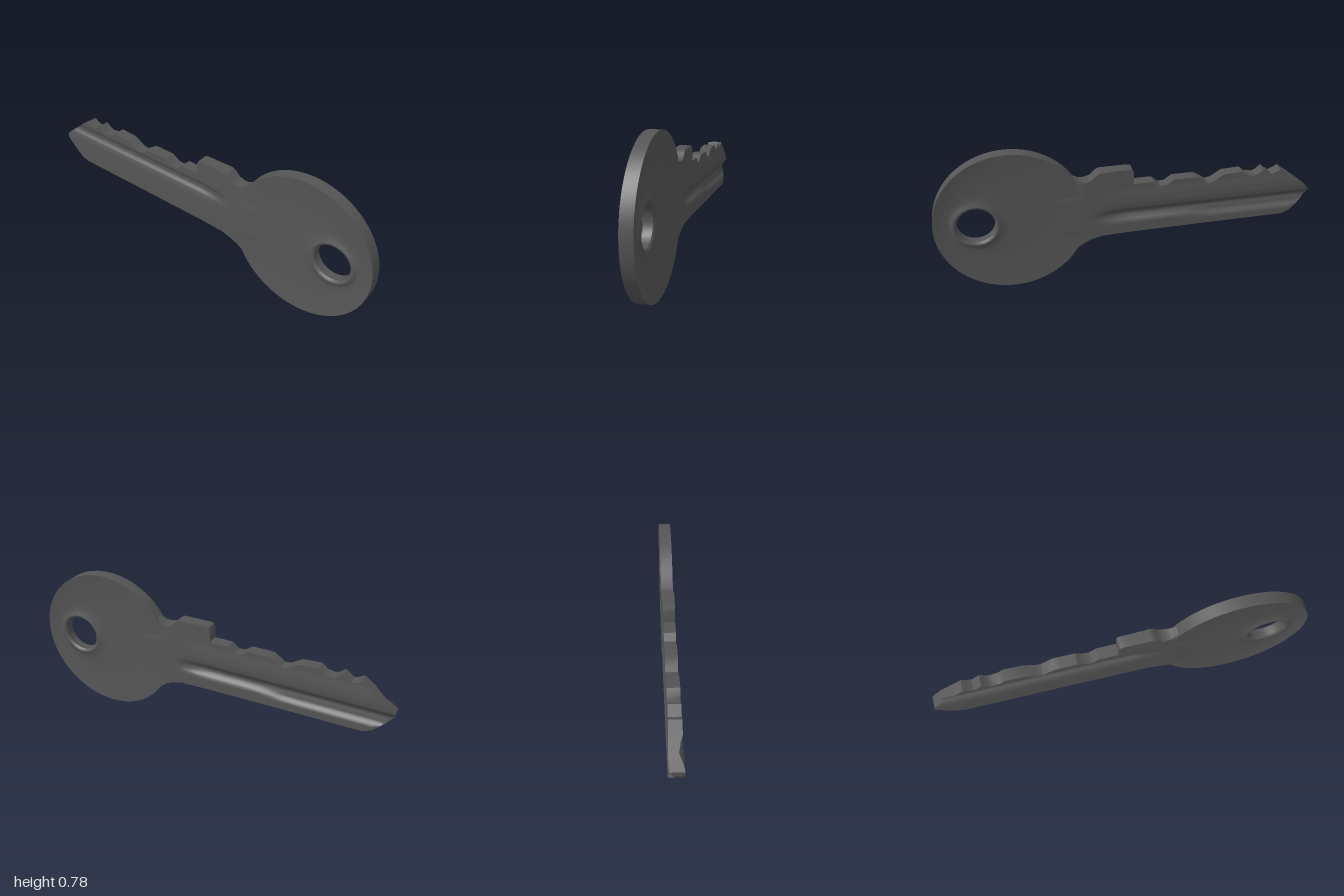
import * as THREE from 'three';
import { toCreasedNormals } from 'three/addons/utils/BufferGeometryUtils.js';

const MID = 0.391; // height of the centre line
const { lerp, smoothstep } = THREE.MathUtils;

// Piecewise linear lookup in a list of [key, value], keys ascending
function lookup(list, k) {
  if (k <= list[0][0]) return list[0][1];
  for (let i = 1; i < list.length; i++) {
    const [k0, v0] = list[i - 1], [k1, v1] = list[i];
    if (k <= k1) return lerp(v0, v1, (k - k0) / (k1 - k0));
  }
  return list[list.length - 1][1];
}

// Skin closed sections; each section is a loop of [x, y, z], leaning slightly sideways
function loft(rows, { ring = false, endCap = false }) {
  const n = rows[0].length, index = [];
  const position = rows.flat().flatMap(([x, y, z]) => [x + 0.0115 * (y - MID), y, z]);
  const steps = ring ? rows.length : rows.length - 1;
  for (let i = 0; i < steps; i++) {
    const p = i * n, q = ((i + 1) % rows.length) * n;
    for (let j = 0; j < n; j++) {
      const k = (j + 1) % n;
      index.push(p + j, q + j, p + k, q + j, q + k, p + k);
    }
  }
  if (endCap) {
    const s = (rows.length - 1) * n;
    for (let j = 0; j < n / 2 - 1; j++) {
      const a = s + j, b = a + 1, c = s + n - 2 - j, d = c + 1;
      index.push(a, c, b, a, d, c);
    }
  }
  const g = new THREE.BufferGeometry();
  g.setAttribute('position', new THREE.Float32BufferAttribute(position, 3));
  g.setIndex(index);
  return toCreasedNormals(g, 0.6);
}

// Round head: dished faces, with a raised lip around the off-centre hole
function headGeometry() {
  const hole = { z: 0.785, r: 0.098 }, disc = { z: 0.61, r: 0.39 };
  // [blend from hole to rim, radius added at the hole, half thickness]
  const section = [[0, 0, 0.022], [0, 0.006, 0.029], [0, 0.014, 0.032], [0, 0.022, 0.03],
    [0.03, 0.027, 0.024], [0.12, 0.022, 0.021], [0.3, 0.015, 0.021],
    [0.5, 0.01, 0.022], [0.7, 0, 0.025], [0.86, 0, 0.0285], [1, 0, 0.032]];
  const rows = [];
  for (let i = 0; i < 72; i++) {
    const a = (i / 72) * Math.PI * 2;
    const side = (s) => section.map(([t, add, h]) => {
      const r = lerp(hole.r + add, disc.r, t);
      return [s * h, MID + r * Math.sin(a), lerp(hole.z, disc.z, t) + r * Math.cos(a)];
    });
    rows.push([...side(1), ...side(-1).reverse()]);
  }
  return loft(rows, { ring: true });
}

// Blade outlines as [z, y], from tip to head
const topEdge = [[-1, 0.4], [-0.985, 0.415], [-0.94, 0.455], [-0.88, 0.5], [-0.825, 0.54], [-0.8, 0.525],
  [-0.775, 0.515], [-0.73, 0.55], [-0.7, 0.525], [-0.68, 0.518], [-0.64, 0.525], [-0.61, 0.55],
  [-0.51, 0.545], [-0.45, 0.508], [-0.42, 0.505], [-0.36, 0.545], [-0.24, 0.545], [-0.2, 0.517],
  [-0.165, 0.515], [-0.13, 0.545], [-0.028, 0.545], [-0.027, 0.61], [-0.02, 0.625], [0, 0.63],
  [0.15, 0.628], [0.17, 0.615], [0.195, 0.59], [0.22, 0.583], [0.25, 0.585], [0.275, 0.6],
  [0.3, 0.615], [0.36, 0.56], [0.55, 0.42]];
const bottomEdge = [[-1, 0.378], [-0.985, 0.36], [-0.95, 0.325], [-0.9, 0.283], [-0.86, 0.265], [-0.4, 0.262],
  [0, 0.258], [0.14, 0.253], [0.2, 0.238], [0.235, 0.22], [0.265, 0.195], [0.3, 0.165], [0.36, 0.23], [0.55, 0.36]];

// Keyway profile of the two faces as [y, x]
const leftFace = [[0.25, 0.036], [0.325, 0.035], [0.345, 0.015], [0.362, 0.006], [0.376, 0.01],
  [0.4, 0.029], [0.43, 0.034], [0.47, 0.034], [0.5, 0.031], [0.515, 0.029], [0.56, 0.029]];
const rightFace = [[0.25, -0.034], [0.33, -0.036], [0.4, -0.036], [0.43, -0.031], [0.45, -0.013],
  [0.475, -0.013], [0.495, -0.031], [0.56, -0.033]];

function bladeGeometry() {
  const zs = [...topEdge, ...bottomEdge].map((p) => p[0]).concat([0.05, 0.1, 0.33, 0.4, 0.45, 0.5, -0.32]);
  const stations = [...new Set(zs)].sort((a, b) => b - a);
  const rows = stations.map((z) => {
    const low = lookup(bottomEdge, z), high = lookup(topEdge, z);
    const fade = smoothstep(z, 0, 0.21);                // grooves run out before the head
    const sink = 0.02 * smoothstep(z, 0.22, 0.55);      // shank tapers into the head
    const slope = 0.12 * smoothstep(z, 0.2, 0.32);      // and rounds off above and below
    const channel = 0.016 * smoothstep(-z, 0.25, 0.5);  // extra milled channel
    const left = [], right = [];
    for (let i = 0; i <= 42; i++) {
      const level = i === 0 ? low : i === 42 ? high : 0.25 + (i - 1) * 0.0078;
      const y = Math.min(high, Math.max(low, level));
      const cut = channel * Math.max(0, 1 - Math.abs(y - 0.328) / 0.022);
      const half = 0.0345 - sink - slope * Math.max(0, Math.abs(y - MID) - 0.09);
      left.push([lerp(lookup(leftFace, y) - cut, half, fade), y, z]);
      right.push([lerp(lookup(rightFace, y), -half, fade), y, z]);
    }
    return [...left, ...right.reverse()];
  });
  return loft(rows, { endCap: true });
}

export function createModel() {
  const group = new THREE.Group();
  group.name = 'key';
  const metal = new THREE.MeshStandardMaterial({ color: 0x555555 });
  for (const [name, geometry] of [['head', headGeometry()], ['blade', bladeGeometry()]]) {
    const mesh = new THREE.Mesh(geometry, metal);
    mesh.name = name;
    group.add(mesh);
  }
  return group;
}
